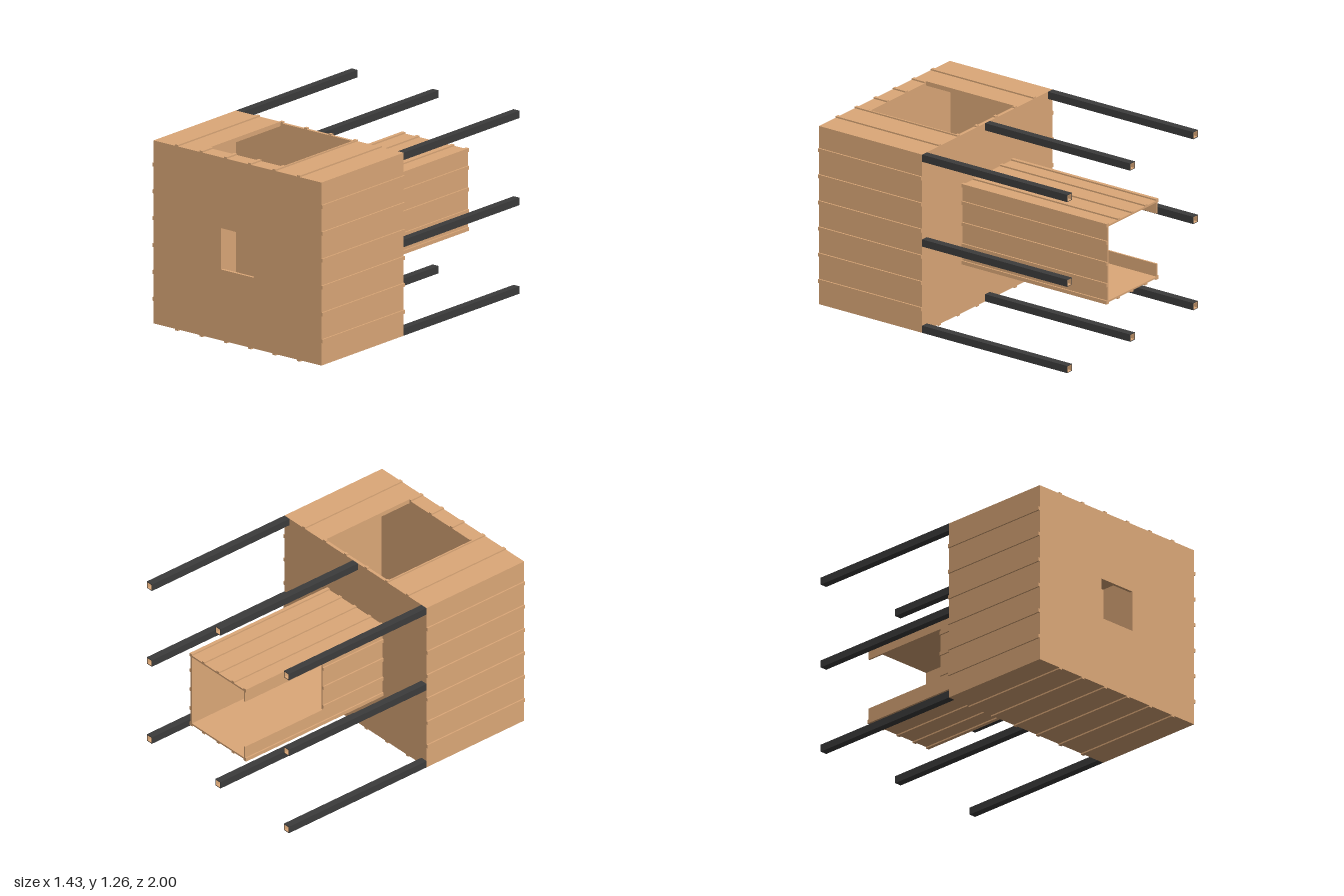
import * as THREE from 'three';

const wood = new THREE.MeshStandardMaterial({ color: 0xdca878 });
const dark = new THREE.MeshStandardMaterial({ color: 0x3c3c3c });

// Named box given by its min and max corners
function box(parent, name, [x0, y0, z0], [x1, y1, z1], mat = wood) {
  const m = new THREE.Mesh(new THREE.BoxGeometry(x1 - x0, y1 - y0, z1 - z0), mat);
  m.position.set((x0 + x1) / 2, (y0 + y1) / 2, (z0 + z1) / 2);
  m.name = name;
  parent.add(m);
  return m;
}

// Rectangular plate with a rectangular hole; rects are [u0, v0, u1, v1]
function plate(name, outer, hole, depth, mat = wood) {
  const corners = ([a, b, c, d]) => [[a, b], [c, b], [c, d], [a, d]].map(p => new THREE.Vector2(...p));
  const shape = new THREE.Shape(corners(outer));
  shape.holes.push(new THREE.Path(corners(hole).reverse()));
  const m = new THREE.Mesh(new THREE.ExtrudeGeometry(shape, { depth, bevelEnabled: false }), mat);
  m.name = name;
  return m;
}

export function createModel() {
  const model = new THREE.Group();
  const W = 0.705, Y0 = 0.01, Y1 = 1.25, ZB = 0.17, T = 0.02, R = 0.01, CY = 0.63, RW = 0.0125;

  // Hollow main chamber
  const chamber = new THREE.Group();
  chamber.name = 'chamber';
  const front = plate('frontWall', [-W, Y0, W, Y1], [-0.14, 0.49, 0.14, 0.77], T);
  front.position.z = 1 - T;
  const back = plate('backWall', [-W, Y0, W, Y1], [-0.258, CY - 0.258, 0.258, CY + 0.258], T);
  back.position.z = ZB;
  const roof = plate('roof', [-W, ZB + T, W, 1 - T], [-0.31, ZB + T + 0.002, 0.31, 0.895], T);
  roof.rotation.x = Math.PI / 2;
  roof.position.y = Y1;
  chamber.add(front, back, roof);
  box(chamber, 'floor', [-W, Y0, ZB + T], [W, Y0 + T, 1 - T]);
  for (const s of [-1, 1]) {
    const x = s * (W - T / 2);
    box(chamber, 'sideWall', [x - T / 2, Y0 + T, ZB + T], [x + T / 2, Y1 - T, 1 - T]);
  }

  // Raised ribs on the chamber
  for (const k of [-2.5, -1.5, -0.5, 0.5, 1.5, 2.5]) {
    const x = k * 0.205, y = CY + k * 0.182;
    box(chamber, 'floorRib', [x - RW, 0, ZB], [x + RW, Y0, 1]);
    if (Math.abs(k) > 2) box(chamber, 'roofRib', [x - RW, Y1, ZB], [x + RW, Y1 + R, 1]);
    else {
      // interrupted by the roof opening
      box(chamber, 'roofRib', [x - RW, Y1, ZB], [x + RW, Y1 + R, ZB + T]);
      box(chamber, 'roofRib', [x - RW, Y1, 0.895], [x + RW, Y1 + R, 1]);
      if (Math.abs(k) > 1) {
        const edge = Math.sign(x) * 0.31, outer = x + Math.sign(x) * RW;
        box(chamber, 'roofRib', [Math.min(edge, outer), Y1, ZB + T], [Math.max(edge, outer), Y1 + R, 0.895]);
      }
    }
    for (const s of [-1, 1]) {
      const cx = s * (W + R / 2);
      box(chamber, 'sideRib', [cx - R / 2, y - RW, ZB], [cx + R / 2, y + RW, 1]);
    }
  }
  model.add(chamber);

  // Rear tunnel, open at the back, with a notch in its right wall
  const tunnel = new THREE.Group();
  tunnel.name = 'tunnel';
  const H = 0.27, t = 0.012, notchEnd = -0.34, sill = 0.46, lip = 0.81;
  const lo = CY - H, hi = CY + H;
  box(tunnel, 'tunnelRoof', [-H, hi - t, -1], [H, hi, ZB]);
  box(tunnel, 'tunnelFloor', [-H, lo, -1], [H, lo + t, ZB]);
  box(tunnel, 'tunnelLeftWall', [H - t, lo + t, -1], [H, hi - t, ZB]);
  box(tunnel, 'tunnelRightWall', [-H, lo + t, notchEnd], [-H + t, hi - t, ZB]);
  box(tunnel, 'notchSill', [-H, lo + t, -1], [-H + t, sill, notchEnd]);
  box(tunnel, 'notchLip', [-H, lip, -1], [-H + t, hi - t, notchEnd]);
  for (const p of [-0.2675, -0.147, 0, 0.147, 0.2675]) {
    const y = CY + p;
    box(tunnel, 'tunnelRoofRib', [p - RW, hi, -1], [p + RW, hi + R, ZB]);
    box(tunnel, 'tunnelFloorRib', [p - RW, lo - R, -1], [p + RW, lo, ZB]);
    box(tunnel, 'tunnelLeftRib', [H, y - RW, -1], [H + R, y + RW, ZB]);
    const start = Math.abs(p) < 0.2 ? notchEnd : -1;
    box(tunnel, 'tunnelRightRib', [-H - R, y - RW, start], [-H, y + RW, ZB]);
  }
  model.add(tunnel);

  // Hollow square rails running back from the chamber
  const a = 0.025, b = 0.021, c = 0.019;
  for (const x of [-0.68, 0, 0.68]) for (const y of [0.035, 0.635, 1.225]) {
    if (x === 0 && y === 0.635) continue;
    const rail = new THREE.Group();
    rail.name = 'rail';
    rail.add(plate('railTube', [-a, -a, a, a], [-b, -b, b, b], ZB + 1, dark));
    rail.add(plate('railLining', [-b, -b, b, b], [-c, -c, c, c], ZB + 1));
    rail.position.set(x, y, -1);
    model.add(rail);
  }
  return model;
}
